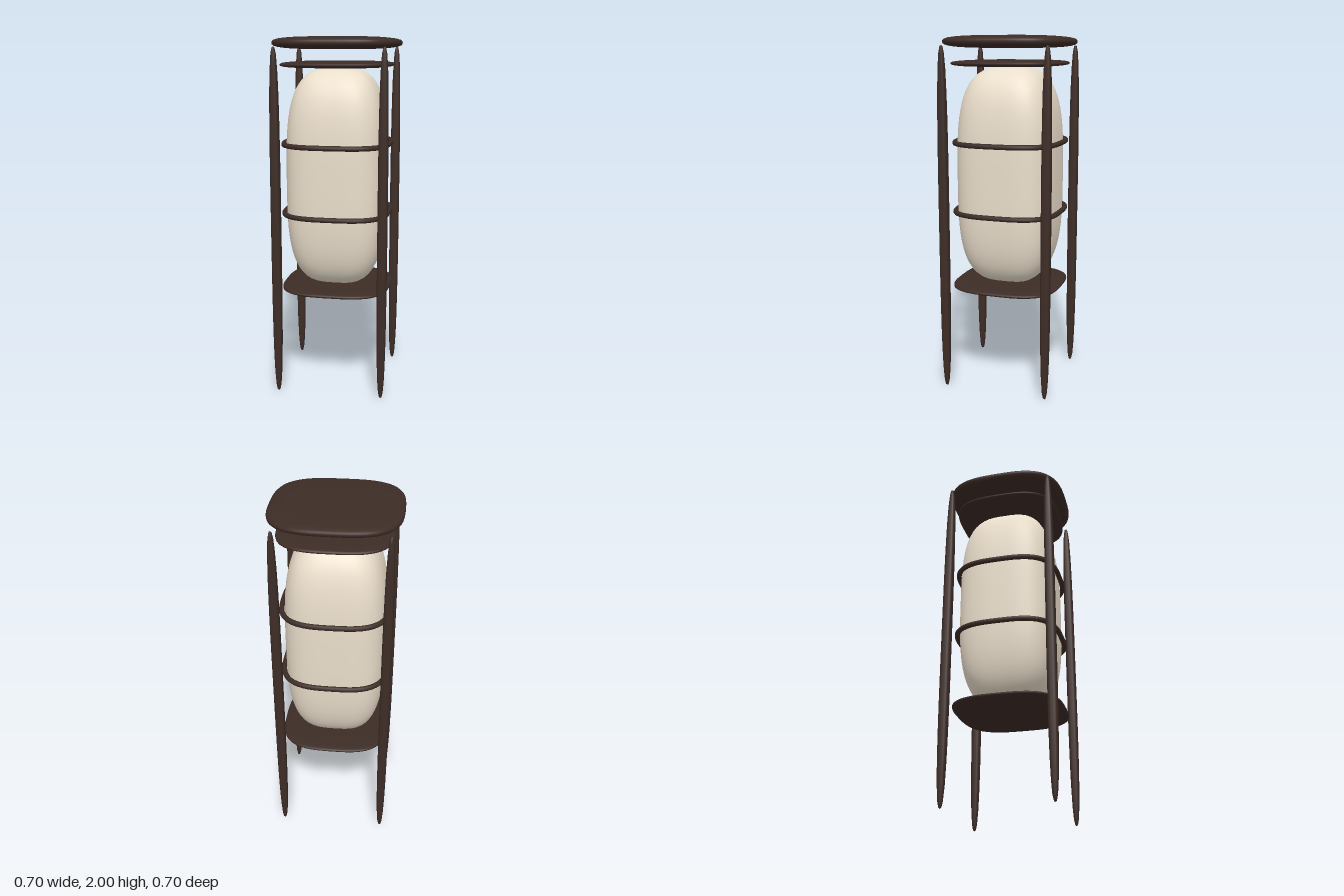
import * as THREE from 'three';

const wood = new THREE.MeshStandardMaterial({ color: 0x3d2c26 });
const paper = new THREE.MeshStandardMaterial({ color: 0xeadecb });

// Soft rounded block: a cube pushed onto a superellipsoid with half sizes a, b, c
function softBlock(name, material, [a, b, c], [x, y, z], p, segments = [14, 14, 14]) {
  const geometry = new THREE.BoxGeometry(2, 2, 2, ...segments);
  const pos = geometry.attributes.position;
  const nor = geometry.attributes.normal;
  const slope = (t) => Math.sign(t) * Math.abs(t) ** (p - 1);
  const v = new THREE.Vector3();
  const n = new THREE.Vector3();
  for (let i = 0; i < pos.count; i++) {
    v.fromBufferAttribute(pos, i);
    const length = (Math.abs(v.x) ** p + Math.abs(v.y) ** p + Math.abs(v.z) ** p) ** (1 / p);
    v.divideScalar(length);
    n.set(slope(v.x) / a, slope(v.y) / b, slope(v.z) / c).normalize();
    pos.setXYZ(i, v.x * a, v.y * b, v.z * c);
    nor.setXYZ(i, n.x, n.y, n.z);
  }
  const mesh = new THREE.Mesh(geometry, material);
  mesh.name = name;
  mesh.position.set(x, y, z);
  return mesh;
}

// Closed rounded-square curve for the bands
class RoundedSquare extends THREE.Curve {
  constructor(radius, p) {
    super();
    this.radius = radius;
    this.p = p;
  }
  getPoint(t, target = new THREE.Vector3()) {
    const angle = t * Math.PI * 2;
    const c = Math.cos(angle);
    const s = Math.sin(angle);
    const r = this.radius / (Math.abs(c) ** this.p + Math.abs(s) ** this.p) ** (1 / this.p);
    return target.set(c * r, 0, s * r);
  }
}

export function createModel() {
  const model = new THREE.Group();
  model.name = 'lanternStand';

  // Plates: overhanging top, cap above the shade, base below it
  model.add(
    softBlock('topPlate', wood, [0.35, 0.035, 0.35], [0, 1.965, 0], 3.1, [20, 8, 20]),
    softBlock('capPlate', wood, [0.31, 0.019, 0.31], [0, 1.848, 0], 3.1, [20, 8, 20]),
    softBlock('basePlate', wood, [0.31, 0.019, 0.31], [0, 0.584, 0], 3.1, [20, 8, 20])
  );

  // Pillow-shaped paper shade
  model.add(softBlock('shade', paper, [0.28, 0.615, 0.28], [0, 1.215, 0], 3.3, [16, 20, 16]));

  // Slim bands around the shade
  const bandGeometry = new THREE.TubeGeometry(new RoundedSquare(0.295, 3.1), 72, 0.0145, 10, true);
  for (const y of [1.02, 1.413]) {
    const band = new THREE.Mesh(bandGeometry, wood);
    band.name = 'band';
    band.position.y = y;
    model.add(band);
  }

  // Four spindle legs tapering at both ends
  for (const x of [-1, 1]) {
    for (const z of [-1, 1]) {
      const name = (z > 0 ? 'front' : 'back') + (x > 0 ? 'Left' : 'Right') + 'Leg';
      model.add(softBlock(name, wood, [0.027, 0.973, 0.027], [x * 0.295, 0.973, z * 0.295], 3.1, [8, 24, 8]));
    }
  }
  return model;
}
